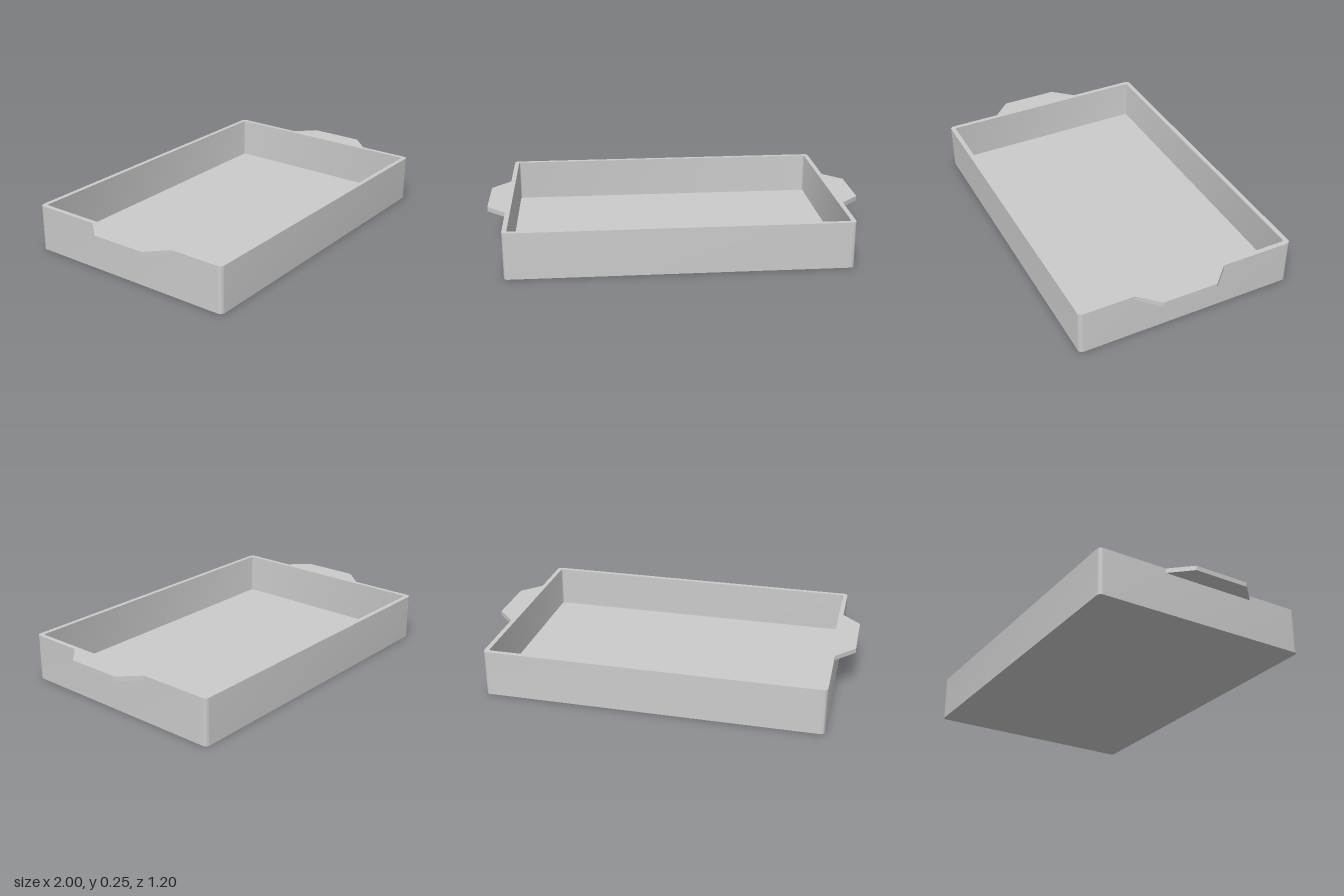
import * as THREE from 'three';
import { toCreasedNormals } from 'three/addons/utils/BufferGeometryUtils.js';

const HX = 0.9, HZ = 0.6, H = 0.25, T = 0.025, ARC = 6;

// Rounded rectangle loop at height y
function ring(hx, hz, r, y) {
  const points = [];
  [[1, 1], [-1, 1], [-1, -1], [1, -1]].forEach(([sx, sz], c) => {
    for (let i = 0; i <= ARC; i++) {
      const a = (c + i / ARC) * Math.PI / 2;
      points.push([sx * (hx - r) + r * Math.cos(a), y, sz * (hz - r) + r * Math.sin(a)]);
    }
  });
  return points;
}

// Skin the loops in order; the first and last loops are single points
function loft(rows) {
  const pos = [], n = rows[0].length, last = rows.length - 2;
  for (let i = 0; i <= last; i++) {
    for (let j = 0; j < n; j++) {
      const k = (j + 1) % n;
      const a = rows[i][j], b = rows[i][k], c = rows[i + 1][k], d = rows[i + 1][j];
      if (i > 0) pos.push(...a, ...d, ...b);
      if (i < last) pos.push(...b, ...d, ...c);
    }
  }
  const geometry = new THREE.BufferGeometry();
  geometry.setAttribute('position', new THREE.Float32BufferAttribute(pos, 3));
  return toCreasedNormals(geometry, 0.6);
}

export function createModel() {
  const group = new THREE.Group();
  const material = new THREE.MeshStandardMaterial({ color: 0xcccccc });

  // Tray body: underside, outer wall, rim, inner wall, floor
  const body = new THREE.Mesh(loft([
    ring(0, 0, 0, 0),
    ring(HX, HZ, 0.022, 0),
    ring(HX, HZ, 0.022, H),
    ring(HX - T, HZ - T, 0.014, H),
    ring(HX - T, HZ - T, 0.014, T),
    ring(0, 0, 0, T),
  ]), material);
  body.name = 'trayBody';
  group.add(body);

  // Tapered grips, flush with the rim: z at the wall and at the tip
  const grips = [
    { name: 'leftHandle', side: 1, z: [-0.2, -0.1, 0.2, 0.3] },
    { name: 'rightHandle', side: -1, z: [-0.22, -0.11, 0.2, 0.3] },
  ];
  for (const { name, side, z } of grips) {
    const outline = [[HX, z[0]], [1, z[1]], [1, z[2]], [HX, z[3]]]
      .map(([x, pz]) => new THREE.Vector2(side * x, pz));
    const geometry = new THREE.ExtrudeGeometry(new THREE.Shape(outline), { depth: T, bevelEnabled: false });
    geometry.rotateX(Math.PI / 2).translate(0, H, 0);
    const handle = new THREE.Mesh(geometry, material);
    handle.name = name;
    group.add(handle);
  }
  return group;
}
